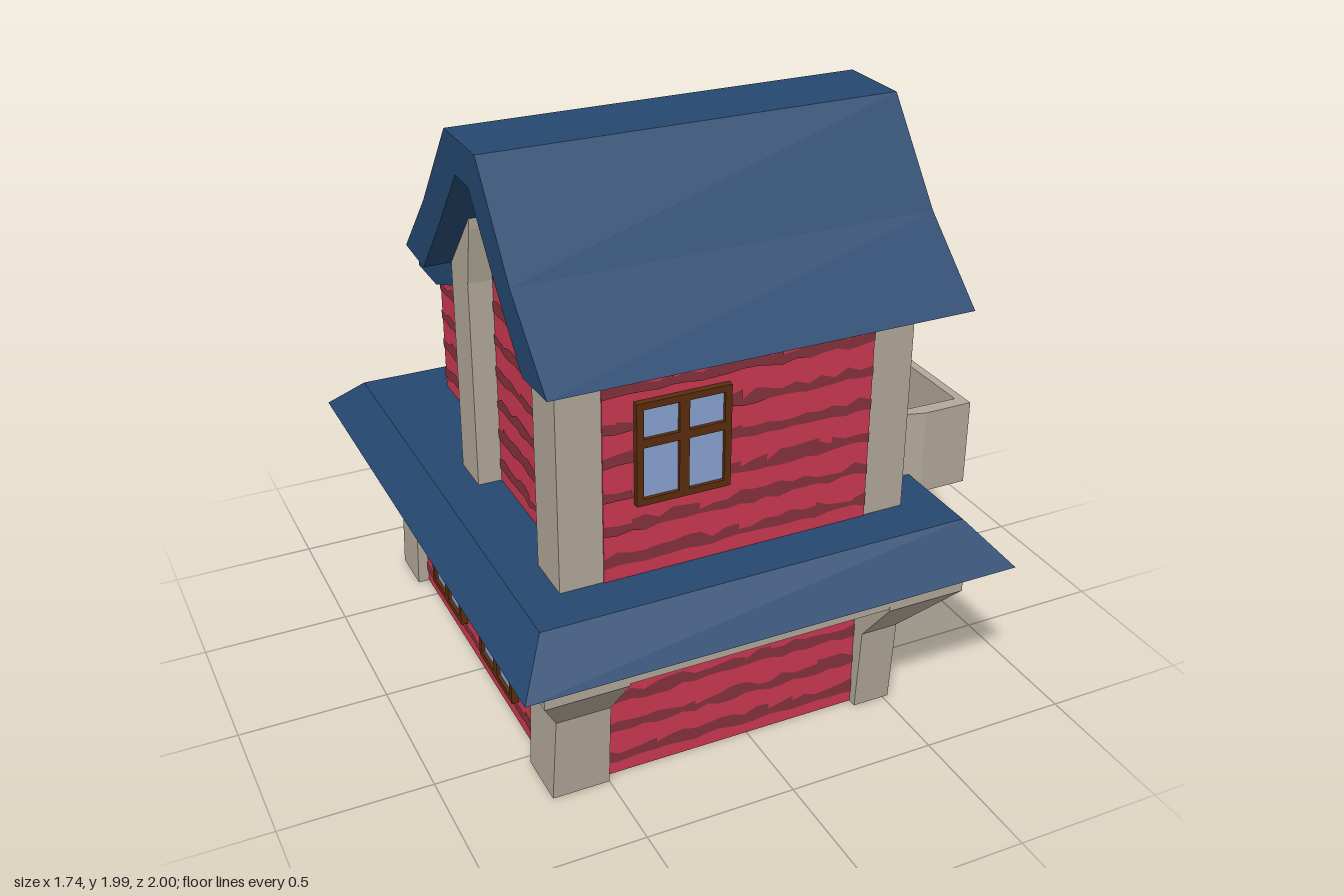
import * as THREE from 'three';

const mat = (name, color) => {
  const m = new THREE.MeshStandardMaterial({ color });
  m.name = name;
  return m;
};

export function createModel() {
  const house = new THREE.Group();
  house.name = 'house';
  const red = mat('red planks', 0xcc3850);
  const darkRed = mat('dark plank gaps', 0x84323c);
  const blue = mat('blue roof', 0x25486f);
  const stone = mat('pale stone', 0xb2a899);
  const brown = mat('brown wood', 0x5a2d0e);
  const glass = mat('blue glass', 0x8ba2d2);

  const add = (name, geo, material, parent = house) => {
    const mesh = new THREE.Mesh(geo, material);
    mesh.name = name;
    parent.add(mesh);
    return mesh;
  };
  // Box given by its limits on each axis
  const box = (name, m, x0, x1, y0, y1, z0, z1, parent) =>
    add(name, new THREE.BoxGeometry(x1 - x0, y1 - y0, z1 - z0)
      .translate((x0 + x1) / 2, (y0 + y1) / 2, (z0 + z1) / 2), m, parent);
  const shapeOf = pts => new THREE.Shape(pts.map(p => new THREE.Vector2(p[0], p[1])));
  // Side profile of (z, y) points drawn out along x
  const prism = (name, m, pts, x0, x1) =>
    add(name, new THREE.ExtrudeGeometry(shapeOf(pts), { depth: x1 - x0, bevelEnabled: false })
      .rotateY(-Math.PI / 2).translate(x1, 0, 0), m);
  // Stacked rectangles, each level [y, x0, x1, z0, z1]
  const loft = (name, m, levels) => {
    const n = levels.length - 1;
    const geo = new THREE.BoxGeometry(1, 1, 1, 1, n, 1).toNonIndexed();
    const p = geo.attributes.position;
    for (let i = 0; i < p.count; i++) {
      const [y, x0, x1, z0, z1] = levels[Math.round((p.getY(i) + 0.5) * n)];
      p.setXYZ(i, p.getX(i) < 0 ? x0 : x1, y, p.getZ(i) < 0 ? z0 : z1);
    }
    geo.computeVertexNormals();
    return add(name, geo, m);
  };

  // One turned group per side, local +z pointing outwards
  const side = (name, angle) => {
    const g = new THREE.Group();
    g.name = name;
    g.rotation.y = angle;
    house.add(g);
    return g;
  };
  const front = side('frontDetails', 0), left = side('leftDetails', Math.PI / 2);
  const back = side('backDetails', Math.PI), right = side('rightDetails', -Math.PI / 2);

  // Ground floor walls
  box('groundWalls', red, -0.65, 0.48, 0, 0.6, -0.73, 0.69);

  // Flared posts and the beam over them: [y, left, right, back, front]
  const flare = [[0, -0.69, 0.52, -0.77, 0.72], [0.3, -0.68, 0.52, -0.77, 0.74],
    [0.48, -0.77, 0.66, -0.885, 0.885], [0.6, -0.77, 0.66, -0.885, 0.885]];
  for (const sx of [0, 1]) for (const sz of [0, 1])
    loft('cornerPost', stone, flare.map(([y, x0, x1, z0, z1]) =>
      [y, sx ? 0.39 : x0, sx ? x1 : -0.5, sz ? 0.53 : z0, sz ? z1 : -0.6]));
  loft('middlePost', stone, flare.map(([y, , x1]) => [y, 0.35, x1, -0.135, 0.01]));
  box('beam', stone, -0.769, 0.659, 0.487, 0.605, -0.884, 0.884);

  // Skirt roof between the floors
  loft('skirtRoof', blue, [[0.605, -0.87, 0.77, -1, 1], [0.73, -0.765, 0.66, -0.86, 0.855]]);

  // Upper floor: posts, gable walls and front wall
  prism('upperFrontPosts', stone,
    [[0.7, 0.72], [0.7, 1.47], [0.49, 1.7], [0.495, 1.63], [0.53, 1.44], [0.53, 0.72]], -0.64, 0.53);
  prism('upperMiddlePosts', stone,
    [[-0.14, 0.72], [0.01, 0.72], [0.01, 1.44], [0.045, 1.63], [0.05, 1.7], [-0.14, 1.47]], -0.64, 0.53);
  prism('gableWalls', red,
    [[0.6, 0.72], [0.6, 1.5], [0.33, 1.9], [0.22, 1.9], [-0.05, 1.5], [-0.05, 0.72]], -0.56, 0.45);
  box('upperFrontWall', red, -0.5, 0.39, 0.72, 1.46, 0.66, 0.704);

  // Main roof with kicked-out eaves
  prism('mainRoof', blue, [[0.88, 1.465], [0.63, 1.69], [0.395, 1.99], [0.14, 1.99], [-0.1, 1.69],
    [-0.315, 1.465], [-0.14, 1.455], [0.05, 1.67], [0.22, 1.875], [0.325, 1.875], [0.5, 1.67], [0.7, 1.455]],
  -0.73, 0.615);

  // Rear extension and its roof
  prism('rearWalls', red,
    [[-0.71, 0.72], [-0.71, 1.21], [-0.57, 1.21], [-0.1, 1.39], [-0.1, 0.72]], -0.5, 0.39);
  prism('rearRoof', blue, [[-0.1, 1.455], [-0.35, 1.362], [-0.57, 1.285], [-0.755, 1.285],
    [-0.755, 1.195], [-0.57, 1.195], [-0.1, 1.37]], -0.56, 0.445);

  // Balcony: curved parapet, floor and underside
  const parapet = shapeOf([[0.4, 0.52], [0.58, 0.525], [0.63, 0.54], [0.7, 0.56], [0.87, 0.56], [0.87, -0.145],
    [0.4, -0.145], [0.4, -0.12], [0.84, -0.12], [0.84, 0.515], [0.4, 0.505]]);
  add('balconyParapet', new THREE.ExtrudeGeometry(parapet, { depth: 0.295, bevelEnabled: false })
    .rotateX(Math.PI / 2).translate(0, 0.955, 0), stone);
  box('balconyFloor', brown, 0.44, 0.842, 0.68, 0.745, -0.125, 0.517);
  box('balconyUnderside', red, 0.6, 0.845, 0.663, 0.68, -0.125, 0.52);

  // Ragged dark gaps between planks; span(y) gives the free width at a height
  let seed = 7;
  const rnd = () => (seed = (seed * 16807) % 2147483647) / 2147483647;
  const planks = (parent, u0, u1, y0, y1, d, span = () => [u0, u1]) => {
    const pos = [];
    for (let row = y0 + 0.045; row < y1 - 0.02; row += 0.112) {
      const [a, b] = span(row + 0.03);
      const n = Math.max(1, Math.round((b - a) / 0.045));
      let lo = row, hi = row + 0.035;
      for (let i = 0; i < n; i++) {
        const ua = a + (b - a) * i / n, ub = a + (b - a) * (i + 1) / n;
        const jump = rnd() < 0.25;
        if (jump) hi = row + 0.015 + rnd() * 0.04;
        const lo2 = row + (rnd() - 0.5) * 0.016, hi2 = row + 0.022 + rnd() * 0.03;
        pos.push(ua, lo, d, ub, lo2, d, ub, hi2, d, ua, lo, d, ub, hi2, d, ua, hi, d);
        lo = lo2; hi = hi2;
      }
    }
    const geo = new THREE.BufferGeometry();
    geo.setAttribute('position', new THREE.Float32BufferAttribute(pos, 3));
    geo.computeVertexNormals();
    add('plankGaps', geo, darkRed, parent);
  };
  // Half width of the gable and reach of the rear wall at a height
  const half = y => y < 1.45 ? 0.26 : y < 1.67 ? 0.26 - (y - 1.45) * 0.2 : Math.max(0.05, 0.215 - (y - 1.67) * 0.8);
  const reach = y => y < 1.2 ? 0.71 : Math.max(0.16, 0.57 - (y - 1.19) * 2.6);
  planks(front, -0.5, 0.39, 0, 0.49, 0.693);
  planks(front, -0.5, 0.39, 0.73, 1.46, 0.707);
  planks(left, -0.53, -0.01, 0, 0.49, 0.483);
  planks(left, 0.135, 0.6, 0, 0.49, 0.483);
  planks(left, -0.53, -0.01, 0.73, 1.86, 0.453, y => [-0.27 - half(y), -0.27 + half(y)]);
  planks(left, 0.14, 0.71, 0.73, 1.34, 0.393, y => [0.14, reach(y)]);
  planks(back, -0.39, 0.5, 0, 0.49, 0.733);
  planks(back, -0.39, 0.5, 0.73, 1.2, 0.713);
  planks(right, -0.6, 0.53, 0, 0.49, 0.653);
  planks(right, 0.01, 0.53, 0.73, 1.86, 0.563, y => [0.27 - half(y), 0.27 + half(y)]);
  planks(right, -0.71, -0.14, 0.73, 1.34, 0.503, y => [-reach(y), -0.14]);

  // Four-pane windows, u is the centre and y the sill
  const windowAt = (parent, u, y, d) => {
    const g = new THREE.Group();
    g.name = 'window';
    g.position.set(u, y, d);
    parent.add(g);
    const rect = (x0, x1, y0, y1) => [[x0, y0], [x1, y0], [x1, y1], [x0, y1]];
    const frame = shapeOf(rect(-0.152, 0.152, 0, 0.335));
    for (const x of [-0.13, 0.016]) for (const [y0, y1] of [[0.022, 0.19], [0.218, 0.313]])
      frame.holes.push(shapeOf(rect(x, x + 0.114, y0, y1)));
    add('windowFrame', new THREE.ExtrudeGeometry(frame, { depth: 0.024, bevelEnabled: false }), brown, g);
    box('windowGlass', glass, -0.14, 0.14, 0.01, 0.325, 0.004, 0.012, g);
  };
  windowAt(front, -0.25, 0.975, 0.702);
  windowAt(left, 0.363, 0.085, 0.48);
  windowAt(left, 0.363, 0.787, 0.39);
  windowAt(right, -0.31, 0.085, 0.65);
  windowAt(right, 0.18, 0.085, 0.65);

  // Doors
  box('groundDoor', brown, -0.4, -0.145, 0.002, 0.395, 0.47, 0.492, left);
  box('balconyDoor', brown, -0.42, -0.12, 0.73, 1.205, 0.44, 0.462, left);

  return house;
}
